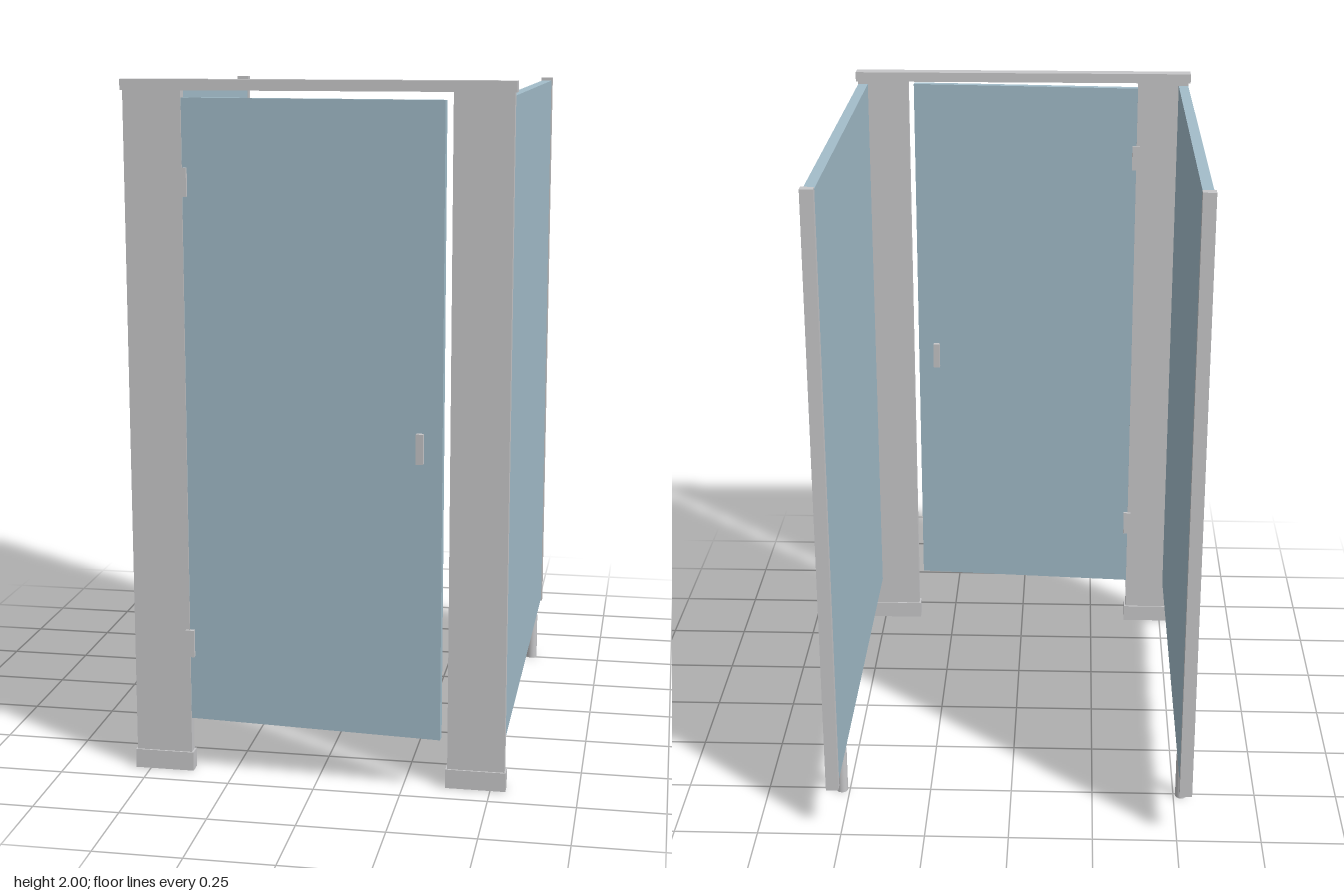
import * as THREE from 'three';

export function createModel() {
  const model = new THREE.Group();
  model.name = 'cubicle';

  const panelBlue = new THREE.MeshStandardMaterial({ color: 0xa3bdca });
  panelBlue.name = 'panel blue';
  const metalGrey = new THREE.MeshStandardMaterial({ color: 0xc7c7c9 });
  metalGrey.name = 'metal grey';

  // Box given by its [min, max] extents on each axis
  function box(name, material, [x0, x1], [y0, y1], [z0, z1], parent = model) {
    const mesh = new THREE.Mesh(new THREE.BoxGeometry(x1 - x0, y1 - y0, z1 - z0), material);
    mesh.position.set((x0 + x1) / 2, (y0 + y1) / 2, (z0 + z1) / 2);
    mesh.name = name;
    parent.add(mesh);
    return mesh;
  }

  // Header rail across the front
  box('headerRail', metalGrey, [-0.546, 0.546], [1.97, 2], [0.631, 0.676]);

  for (const [side, s] of [['left', 1], ['right', -1]]) {
    const span = (a, b) => (s > 0 ? [a, b] : [-b, -a]);

    // Front pilaster with its floor shoe
    box(side + 'Pilaster', metalGrey, span(0.376, 0.54), [0.05, 1.97], [0.64, 0.671]);
    box(side + 'Shoe', metalGrey, span(0.371, 0.544), [0, 0.056], [0.635, 0.676]);

    // Side panel and the wall channel holding its back edge
    box(side + 'Panel', panelBlue, span(0.508, 0.539), [0.15, 1.96], [-0.706, 0.64]);
    box(side + 'WallChannel', metalGrey, span(0.505, 0.542), [0.14, 1.97], [-0.73, -0.704]);

    // Round leg under the panel
    const leg = new THREE.Mesh(new THREE.CylinderGeometry(0.0175, 0.0175, 0.15, 16), metalGrey);
    leg.position.set(s * 0.5235, 0.075, -0.508);
    leg.name = side + 'Leg';
    model.add(leg);
  }

  // Door, slightly ajar, turning about its hinge edge
  const door = new THREE.Group();
  door.name = 'door';
  door.position.set(-0.377, 0, 0.654);
  door.rotation.y = -0.07;
  box('doorLeaf', panelBlue, [0, 0.74], [0.16, 1.95], [-0.0125, 0.0125], door);
  box('doorHandle', metalGrey, [0.667, 0.688], [0.96, 1.045], [-0.026, 0.027], door);
  model.add(door);

  // Hinges
  for (const y of [0.39, 1.72]) {
    box('hinge', metalGrey, [-0.387, -0.362], [y - 0.04, y + 0.04], [0.632, 0.679]);
  }

  return model;
}
